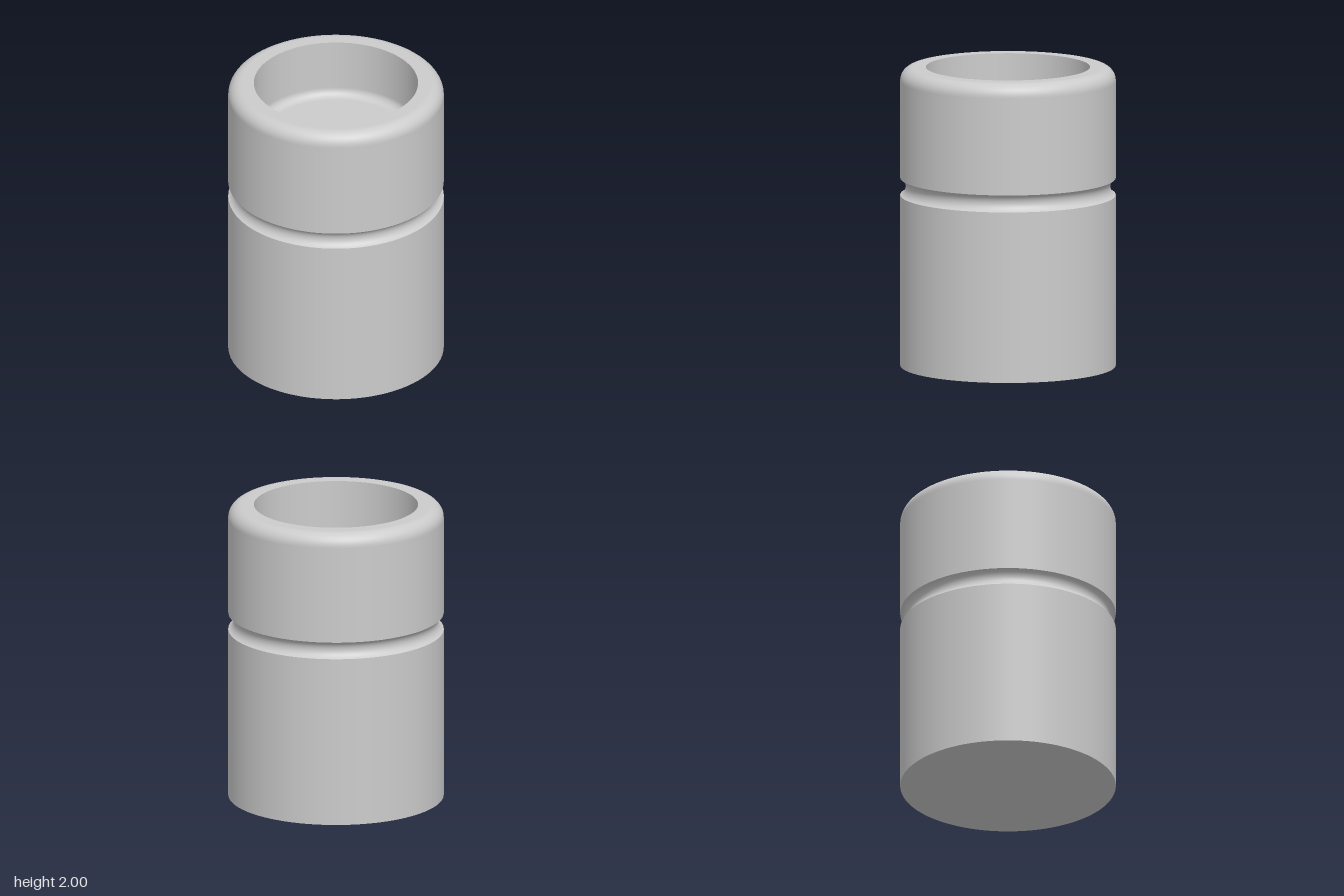
import * as THREE from 'three';

const R = 0.713;          // outer radius
const H = 2;              // height
const EDGE = 0.088;       // rounding of the top edge
const BORE = 0.543;       // recess radius
const DEPTH = 0.4;        // recess depth
const FILLET = 0.057;     // rounding at the recess floor
const GROOVE = { y: 1.2, half: 0.057, depth: 0.037 };

const material = new THREE.MeshStandardMaterial({ color: 0xcccccc });
const p = (r, y) => new THREE.Vector2(r, y);

// Points along an arc from angle a to angle b
function arc(cx, cy, radius, a, b, steps = 12) {
  return Array.from({ length: steps + 1 }, (_, i) => {
    const t = a + (b - a) * i / steps;
    return p(cx + radius * Math.cos(t), cy + radius * Math.sin(t));
  });
}

// Each part is one smooth run of the profile, so its end edges stay sharp
function turned(name, points) {
  const mesh = new THREE.Mesh(new THREE.LatheGeometry(points, 96), material);
  mesh.name = name;
  return mesh;
}

export function createModel() {
  const group = new THREE.Group();
  group.name = 'groovedCup';
  const { y, half, depth } = GROOVE;
  const e = 0.004; // support points keep the straight runs evenly shaded

  // Base and lower wall
  group.add(turned('base', [p(0, 0), p(R, 0)]));
  group.add(turned('lowerBody', [p(R, 0), p(R, y - half)]));

  // Round-bottomed groove, its circle centred just outside the wall
  const gr = (half * half + depth * depth) / (2 * depth);
  const ga = Math.asin(half / gr);
  group.add(turned('groove', arc(R - depth + gr, y, gr, Math.PI + ga, Math.PI - ga, 16)));

  // Upper wall rolling over into the flat rim
  group.add(turned('upperBody', [
    p(R, y + half), p(R, H - EDGE - e),
    ...arc(R - EDGE, H - EDGE, EDGE, 0, Math.PI / 2),
    p(R - EDGE - e, H), p(BORE, H),
  ]));

  // Recess wall, fillet and floor
  const floor = H - DEPTH;
  group.add(turned('recess', [
    p(BORE, H), p(BORE, floor + FILLET + e),
    ...arc(BORE - FILLET, floor + FILLET, FILLET, 0, -Math.PI / 2),
    p(BORE - FILLET - e, floor), p(0, floor),
  ]));

  return group;
}
